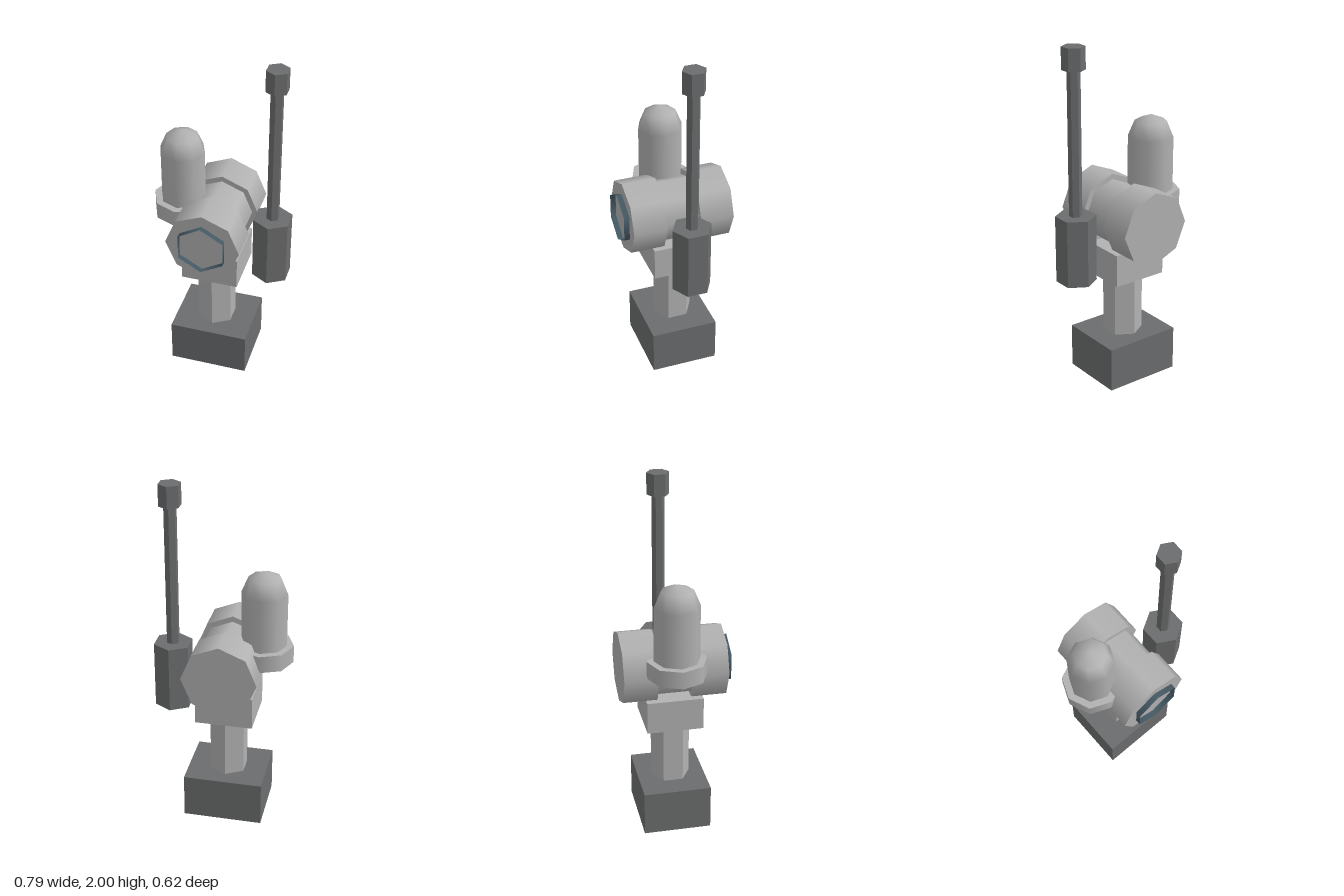
import * as THREE from 'three';

export function createModel() {
  const model = new THREE.Group();
  const mat = (name, color) => {
    const m = new THREE.MeshStandardMaterial({ color });
    m.name = name;
    return m;
  };
  const light = mat('light grey', 0xb2b2b2);
  const dark = mat('dark grey', 0x6c6d6e);
  const lens = mat('dark slate', 0x465b66);
  lens.side = THREE.DoubleSide;
  const flatLight = light.clone();
  flatLight.flatShading = true;
  const flatDark = dark.clone();
  flatDark.flatShading = true;

  const CX = -0.03, CZ = -0.017;
  const add = (name, geometry, material, x, y, z) => {
    const mesh = new THREE.Mesh(geometry, material);
    mesh.name = name;
    mesh.position.set(x, y, z);
    model.add(mesh);
    return mesh;
  };
  // upright prism between two heights
  const prism = (name, r, sides, y0, y1, material, x) =>
    add(name, new THREE.CylinderGeometry(r, r, y1 - y0, sides), material, x, (y0 + y1) / 2, CZ);
  // prism lying along z between two depths
  const drum = (name, r, sides, z0, z1, material, open = false) =>
    add(name, new THREE.CylinderGeometry(r, r, z1 - z0, sides, 1, open).rotateX(Math.PI / 2),
      material, CX, 0.985, (z0 + z1) / 2);

  // stand
  add('base', new THREE.BoxGeometry(0.46, 0.262, 0.392), dark, CX, 0.131, CZ);
  prism('column', 0.114, 6, 0.262, 0.63, flatLight, CX);
  add('mountBlock', new THREE.BoxGeometry(0.33, 0.19, 0.324), light, CX, 0.725, CZ);

  // horizontal housing: two end drums and a narrower waist
  drum('rearDrum', 0.213, 8, -0.313, -0.118, light);
  drum('waistDrum', 0.18, 8, -0.118, 0.081, light);
  drum('frontDrum', 0.213, 8, 0.081, 0.278, light);
  drum('lensRing', 0.148, 6, 0.278, 0.31, lens, true);

  // domed canister on its collar
  prism('collar', 0.17, 8, 1.0, 1.1, light, -0.228);
  prism('canister', 0.13, 8, 1.05, 1.41, light, -0.228);
  add('canisterDome', new THREE.SphereGeometry(0.13, 8, 2, 0, Math.PI * 2, 0, Math.PI / 2),
    light, -0.228, 1.41, CZ);

  // antenna
  prism('antennaBox', 0.114, 6, 0.66, 1.053, flatDark, 0.297);
  prism('antennaRod', 0.037, 6, 1.053, 1.875, flatDark, 0.297);
  prism('antennaTip', 0.065, 6, 1.875, 2.0, flatDark, 0.297);

  return model;
}
